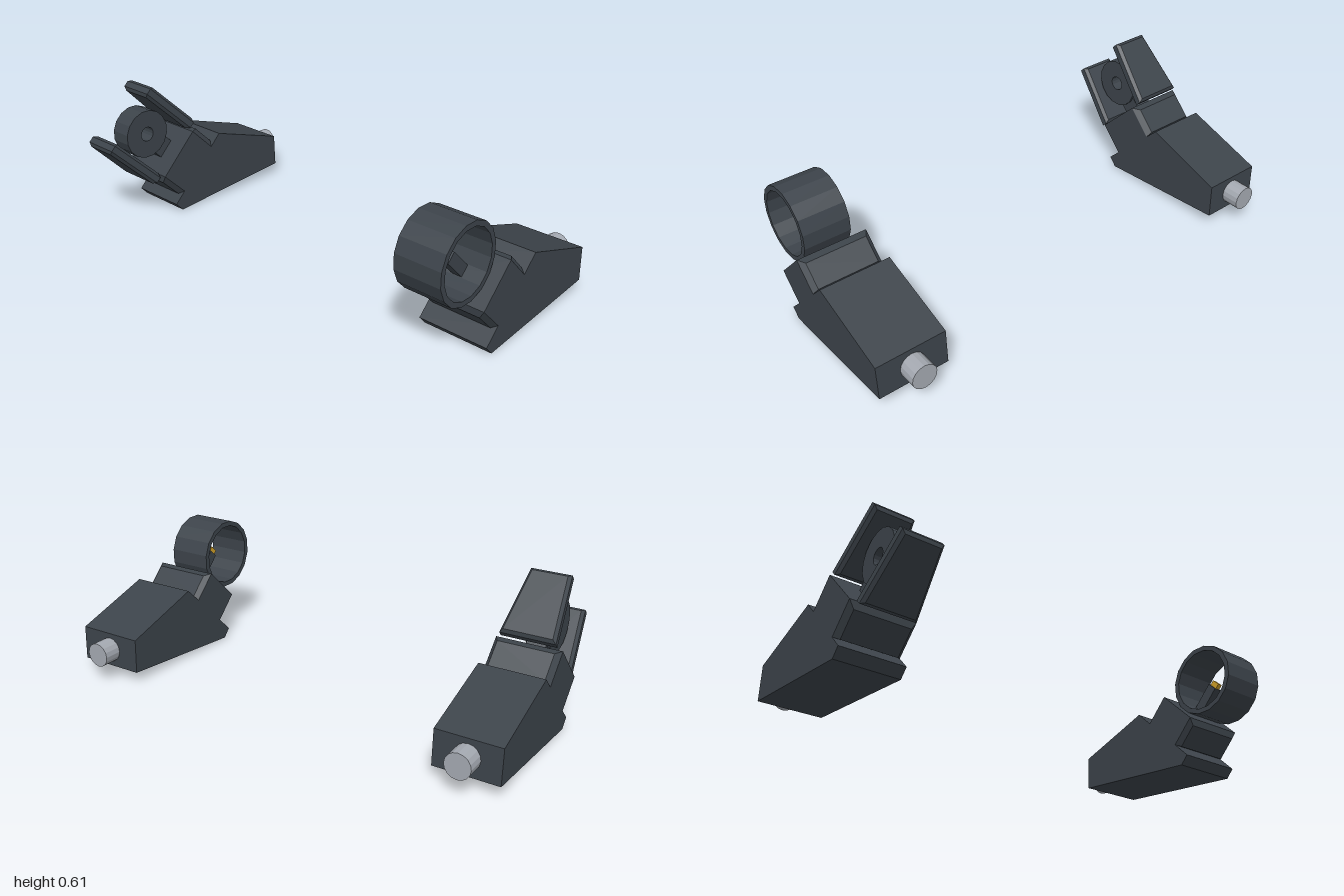
import * as THREE from 'three';

const shell = new THREE.MeshStandardMaterial({ color: 0x3c434a });
shell.name = 'dark slate plastic';
const metal = new THREE.MeshStandardMaterial({ color: 0xa3a8b0 });
metal.name = 'grey cable';
const gold = new THREE.MeshStandardMaterial({ color: 0xd0a028 });
gold.name = 'gold contact';
for (const m of [shell, metal, gold]) m.flatShading = true;

const MID = 0.076; // centre line of the tilted head

function add(parent, name, geometry, material, x = 0, y = 0, z = 0) {
  const mesh = new THREE.Mesh(geometry, material);
  mesh.name = name;
  mesh.position.set(x, y, z);
  parent.add(mesh);
  return mesh;
}

const polygon = (points) => new THREE.Shape(points.map(([x, y]) => new THREE.Vector2(x, y)));

// Extrusion centred on its depth
function slab(shape, depth, options = {}) {
  const g = new THREE.ExtrudeGeometry(shape, { depth, bevelEnabled: false, ...options });
  return g.translate(0, 0, -depth / 2);
}

// Sixteen-sided ring with a flat side on top
function ring(outer, inner, width) {
  const circle = (r) => Array.from({ length: 16 }, (_, i) => {
    const a = (i + 0.5) * Math.PI / 8;
    return [r * Math.cos(a), r * Math.sin(a)];
  });
  const shape = polygon(circle(outer));
  shape.holes.push(polygon(circle(inner)));
  return slab(shape, width);
}

// Raised lip that narrows away from the neck
function lipGeometry(u0, u1, slope, height, width) {
  const g = new THREE.BoxGeometry(1, height, width).translate(0, height / 2, 0);
  const p = g.attributes.position;
  for (let i = 0; i < p.count; i++) {
    const top = p.getY(i) > height / 2;
    p.setX(i, p.getX(i) < 0 ? u0 + (top ? 0.007 : 0) : u1 - (top ? slope : 0));
    if (top) p.setZ(i, p.getZ(i) - Math.sign(p.getZ(i)) * 0.02);
  }
  g.computeVertexNormals();
  return g;
}

// Housing with cable stub; the head frame points forward and up at 45 degrees
function connector(name, x, width, halfNeck, face, lipHeight) {
  const root = new THREE.Group();
  root.name = name;
  root.position.x = x;
  root.rotation.y = -Math.PI / 2;
  const head = new THREE.Group();
  head.name = 'tiltedHead';
  head.rotation.z = Math.PI / 4;
  root.add(head);

  const lo = MID - halfNeck, hi = MID + halfNeck;
  add(head, 'housing', slab(polygon([
    [0.127, -0.122], [0.178, -0.12], [0.178, lo], [face, lo], [face, hi],
    [0.178, hi], [0.178, 0.272], [-0.158, 0.443], [-0.267, 0.342],
  ]), width), shell);

  for (const side of [1, -1]) {
    const lip = add(head, side > 0 ? 'upperLip' : 'lowerLip',
      lipGeometry(0.178, face, 0.026, lipHeight, width), shell, 0, MID + side * halfNeck, 0);
    if (side < 0) lip.rotation.x = Math.PI;
  }

  const stub = add(root, 'cableStub', new THREE.CylinderGeometry(0.053, 0.053, 0.09, 16), metal, -0.46, 0.128, 0);
  stub.rotation.z = Math.PI / 2;
  return { root, head };
}

export function createModel() {
  const model = new THREE.Group();
  model.name = 'connectorPair';

  // Socket half: round collar around a contact pin
  const socket = connector('socketConnector', 0.85, 0.3, 0.104, 0.319, 0.02);
  add(socket.head, 'collar', ring(0.16, 0.138, 0.2), shell, 0.476, MID, 0);
  add(socket.head, 'contactPost', new THREE.BoxGeometry(0.15, 0.048, 0.04), shell, 0.389, MID, 0);
  add(socket.head, 'contactTip', new THREE.BoxGeometry(0.024, 0.04, 0.022), gold, 0.476, MID, 0);
  model.add(socket.root);

  // Plug half: pierced disc between two tapered prongs
  const plug = connector('plugConnector', -0.865, 0.27, 0.1225, 0.327, 0.024);
  add(plug.head, 'disc', ring(0.111, 0.033, 0.1), shell, 0.476, MID, 0);
  add(plug.head, 'discStem', new THREE.BoxGeometry(0.07, 0.09, 0.08), shell, 0.348, MID, 0);
  const bevel = 0.013;
  const outline = polygon([[0.343, -0.1], [0.61, -0.072], [0.61, 0.072], [0.343, 0.1]]);
  for (const side of [1, -1]) {
    const g = slab(outline, 0.028, {
      bevelEnabled: true, bevelSize: bevel, bevelThickness: bevel, bevelSegments: 1,
    }).rotateX(Math.PI / 2);
    add(plug.head, side > 0 ? 'upperProng' : 'lowerProng', g, shell, 0, MID + side * 0.149, 0);
  }
  model.add(plug.root);

  return model;
}
